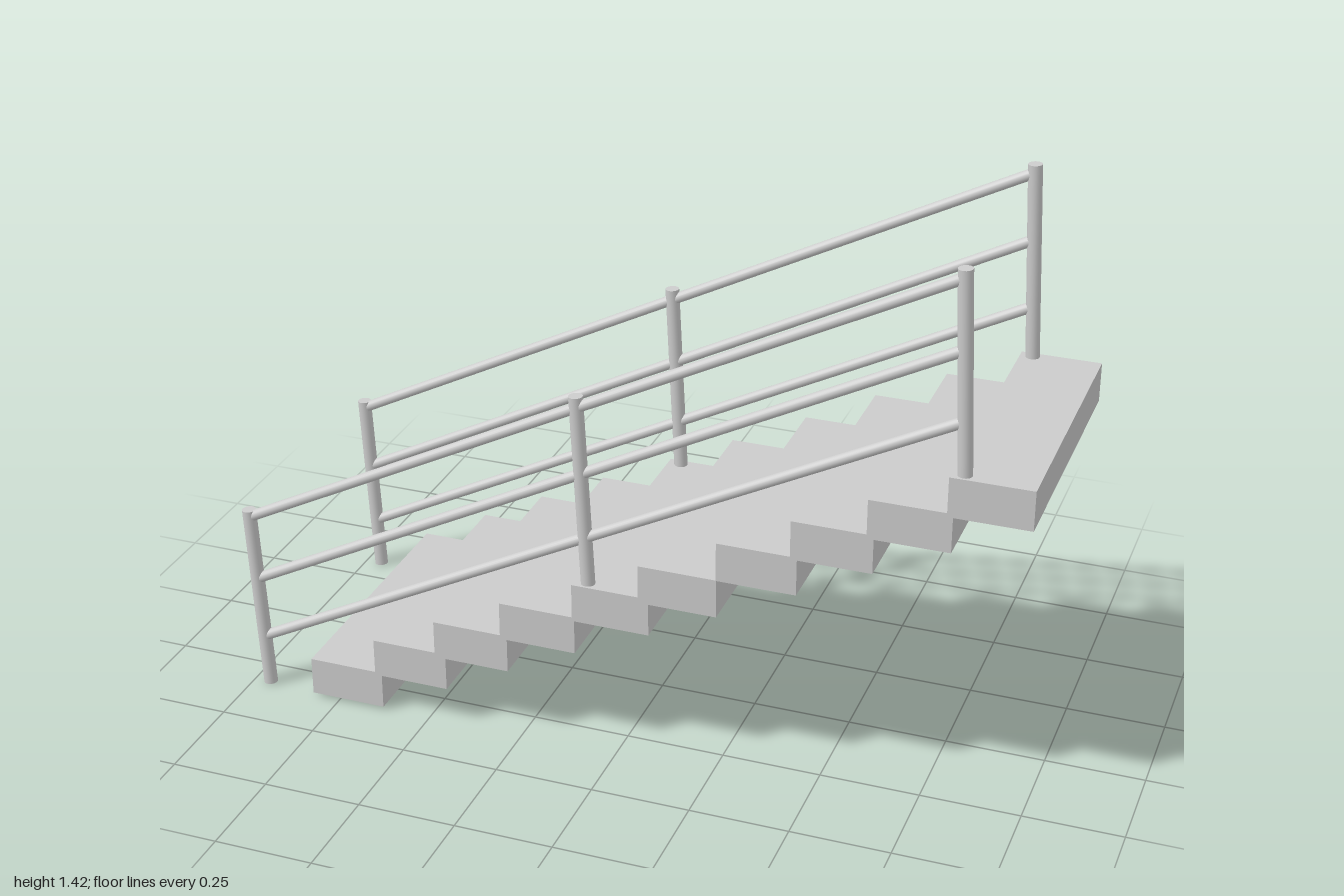
import * as THREE from 'three';

export function createModel() {
  const model = new THREE.Group();
  const material = new THREE.MeshStandardMaterial({ color: 0xcccccc });

  // Round bar between two points
  function bar(name, a, b, radius, parent) {
    const dir = b.clone().sub(a);
    const mesh = new THREE.Mesh(new THREE.CylinderGeometry(radius, radius, dir.length(), 20), material);
    mesh.name = name;
    mesh.position.copy(a).add(b).multiplyScalar(0.5);
    mesh.quaternion.setFromUnitVectors(new THREE.Vector3(0, 1, 0), dir.normalize());
    parent.add(mesh);
  }

  // Treads: left edge and underside of each block
  const treads = [
    [-0.822, 0.01], [-0.643, 0.102], [-0.475, 0.19], [-0.296, 0.28], [-0.105, 0.37],
    [0.065, 0.455], [0.26, 0.554], [0.44, 0.647], [0.62, 0.736], [0.803, 0.826],
  ];
  const stairs = new THREE.Group();
  stairs.name = 'stairs';
  const treadGeometry = new THREE.BoxGeometry(0.197, 0.1, 0.7);
  for (const [x, y] of treads) {
    const tread = new THREE.Mesh(treadGeometry, material);
    tread.name = 'tread';
    tread.position.set(x + 0.0985, y + 0.05, 0);
    stairs.add(tread);
  }
  model.add(stairs);

  // Two railings, each with three leaning posts and three sloping rails
  const posts = [[-0.956, 0.003], [-0.07, 0.467], [0.834, 0.922]];
  const rails = [[-0.978, 0.482, 0.806, 1.396], [-0.968, 0.307, 0.816, 1.228], [-0.96, 0.14, 0.824, 1.056]];
  for (const [name, z] of [['frontRailing', 0.327], ['backRailing', -0.331]]) {
    const railing = new THREE.Group();
    railing.name = name;
    for (const [x, y] of posts) {
      bar('post', new THREE.Vector3(x, y, z), new THREE.Vector3(x - 0.025, y + 0.498, z), 0.0175, railing);
    }
    for (const [x0, y0, x1, y1] of rails) {
      bar('rail', new THREE.Vector3(x0, y0, z), new THREE.Vector3(x1, y1, z), 0.0135, railing);
    }
    model.add(railing);
  }

  return model;
}
